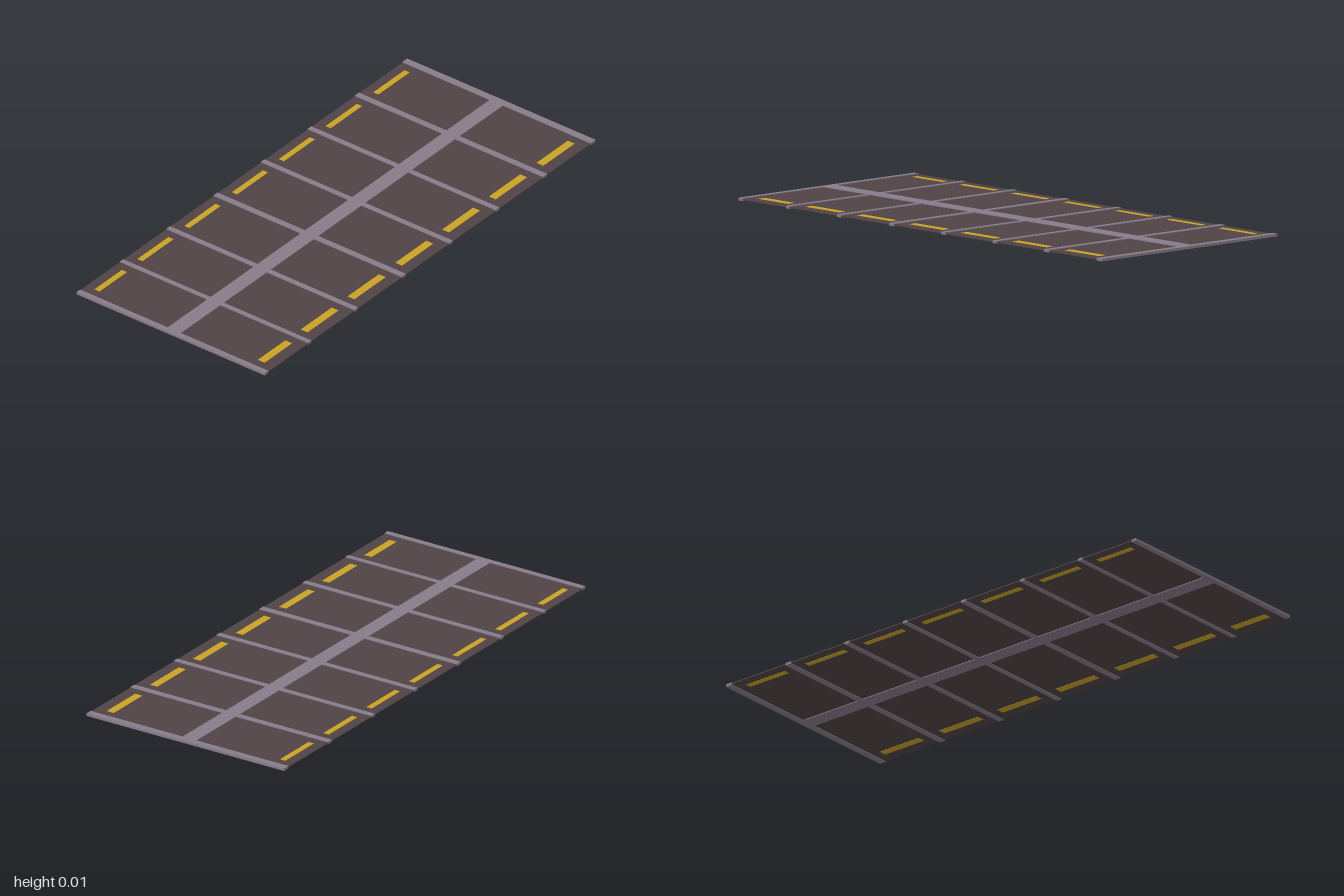
import * as THREE from 'three';

export function createModel() {
  const model = new THREE.Group();
  const material = (color) => new THREE.MeshStandardMaterial({ color });
  const frameMat = material(0x877b89);
  const panelMat = material(0x4f4345);
  const stripeMat = material(0xc8a226);

  const H = 0.01;    // full thickness
  const Z = 0.445;   // half depth
  const SPINE = 0.031; // half width of the middle beam

  // box given by its x and z limits, centred in the thickness
  function slab(name, mat, x0, x1, z0, z1, height) {
    const mesh = new THREE.Mesh(new THREE.BoxGeometry(x1 - x0, height, z1 - z0), mat);
    mesh.position.set((x0 + x1) / 2, H / 2, (z0 + z1) / 2);
    mesh.name = name;
    model.add(mesh);
  }

  // x limits of the seven bays
  const bays = [
    [-0.978, -0.738], [-0.718, -0.457], [-0.435, -0.172], [-0.147, 0.115],
    [0.137, 0.398], [0.42, 0.683], [0.708, 0.971],
  ];

  // cross ribs fill the gaps between bays and the two ends
  for (let i = 0; i <= bays.length; i++) {
    const x0 = i === 0 ? -1 : bays[i - 1][1];
    const x1 = i === bays.length ? 1 : bays[i][0];
    slab('crossRib', frameMat, x0, x1, -Z, Z, H);
  }

  // recessed panels, middle beam pieces and edge stripes
  for (const [x0, x1] of bays) {
    slab('middleBeam', frameMat, x0, x1, -SPINE, SPINE, H);
    slab('backPanel', panelMat, x0, x1, -Z, -SPINE, 0.004);
    slab('frontPanel', panelMat, x0, x1, SPINE, Z, 0.004);
    const s0 = x0 + 0.037, s1 = x1 - 0.037;
    slab('backStripe', stripeMat, s0, s1, -0.406, -0.382, 0.0056);
    slab('frontStripe', stripeMat, s0, s1, 0.366, 0.398, 0.0056);
  }
  return model;
}
